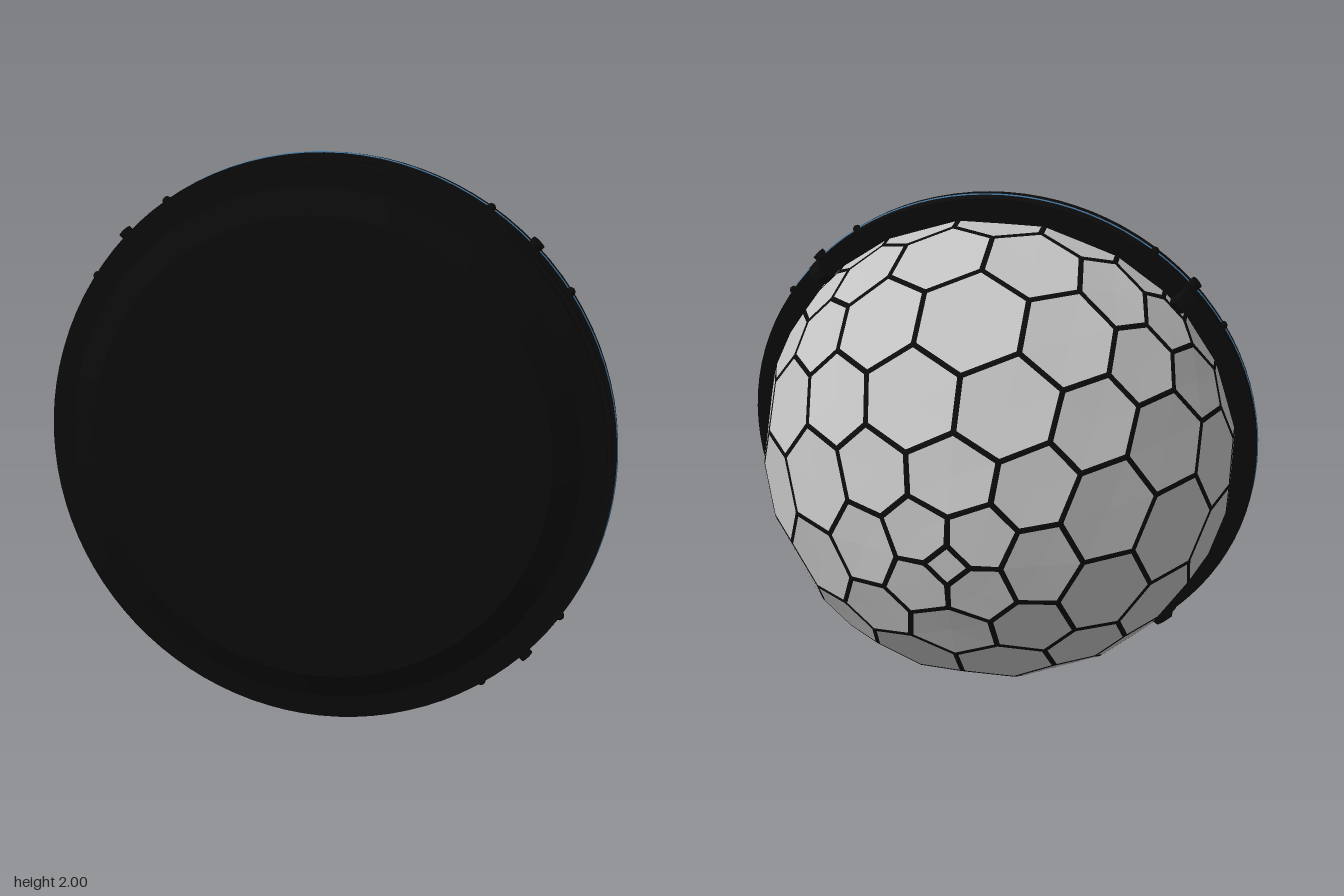
import * as THREE from 'three';
import { mergeGeometries, toCreasedNormals } from 'three/addons/utils/BufferGeometryUtils.js';

const R = 0.92, DOME_Z = 0.36, FREQ = 6, SEAM = 0.01;

const black = new THREE.MeshStandardMaterial({ color: 0x0b0b0b });
black.name = 'black';
const grey = new THREE.MeshStandardMaterial({ color: 0xc2c2c2 });
grey.name = 'panel grey';
const blue = new THREE.MeshStandardMaterial({ color: 0x44749c });
blue.name = 'blue';

function add(parent, name, geometry, material) {
  const mesh = new THREE.Mesh(geometry, material);
  mesh.name = name;
  parent.add(mesh);
  return mesh;
}

// Cells of an octahedral honeycomb sphere: a lattice point and its ring of corners
function honeycombCells() {
  const h = Math.SQRT1_2;
  const toSphere = (u, v, w) =>
    new THREE.Vector3((u - v) * h, (u + v) * h, -w).normalize().multiplyScalar(R);
  const cells = new Map();
  const addTriangle = (pts) => {
    const mid = [0, 1, 2].map((k) => (pts[0][k] + pts[1][k] + pts[2][k]) / 3);
    const corner = toSphere(...mid);
    for (const p of pts) {
      const key = p.map((n) => n + 0).join();
      if (!cells.has(key)) cells.set(key, { w: p[2], normal: toSphere(...p).normalize(), corners: [] });
      cells.get(key).corners.push(corner);
    }
  };
  for (const su of [1, -1]) for (const sv of [1, -1]) for (const sw of [1, -1]) {
    const P = (i, j) => [su * i, sv * j, sw * (FREQ - i - j)];
    for (let i = 0; i < FREQ; i++) for (let j = 0; i + j < FREQ; j++) {
      addTriangle([P(i, j), P(i + 1, j), P(i, j + 1)]);
      if (i + j < FREQ - 1) addTriangle([P(i + 1, j), P(i + 1, j + 1), P(i, j + 1)]);
    }
  }
  // Keep the rear half, plus the row on the equator
  return [...cells.values()].filter((c) => c.w >= 0);
}

function geometryFrom(points) {
  const g = new THREE.BufferGeometry().setFromPoints(points);
  g.computeVertexNormals();
  return g;
}

function buildDome() {
  const dome = new THREE.Group();
  dome.name = 'honeycombDome';
  dome.position.z = DOME_Z;
  const panels = [], seams = [];
  for (const { normal, corners } of honeycombCells()) {
    const n = corners.length;
    const centre = corners.reduce((s, c) => s.add(c), new THREE.Vector3()).divideScalar(n);
    const e1 = corners[0].clone().sub(centre).projectOnPlane(normal).normalize();
    const e2 = normal.clone().cross(e1);
    const angle = (c) => {
      const d = c.clone().sub(centre);
      return Math.atan2(d.dot(e2), d.dot(e1));
    };
    const ring = [...corners].sort((a, b) => angle(a) - angle(b));
    const inner = ring.map((c) => {
      const d = centre.clone().sub(c);
      return c.clone().addScaledVector(d.normalize(), SEAM / Math.cos(Math.PI / n));
    });
    for (let k = 0; k < n; k++) {
      const m = (k + 1) % n;
      panels.push(centre, inner[k], inner[m]);
      seams.push(ring[k], ring[m], inner[m], ring[k], inner[m], inner[k]);
    }
  }
  add(dome, 'panels', geometryFrom(panels), grey);
  add(dome, 'seams', geometryFrom(seams), black);
  return dome;
}

// Stepped rim with a closed, bevelled front
function buildRim() {
  const profile = [
    [0.85, 0.35], [0.995, 0.35], [0.995, 0.43], [0.985, 0.43], [0.985, 0.465],
    [0.97, 0.465], [0.97, 0.505], [0.89, 0.51], [0.8, 0.55], [0, 0.55],
  ].map(([r, z]) => new THREE.Vector2(r, z));
  const g = new THREE.LatheGeometry(profile, 96).rotateX(Math.PI / 2);
  return toCreasedNormals(g, 0.3);
}

// Hooked clip with a screw head, built on the +x side of the rim
function clipGeometry() {
  const shape = new THREE.Shape([
    [0.89, -0.36], [0.925, -0.29], [0.945, -0.26], [0.975, -0.265], [1.0, -0.31], [1.0, -0.37],
  ].map(([r, z]) => new THREE.Vector2(r, z)));
  const hook = new THREE.ExtrudeGeometry(shape, { depth: 0.05, bevelEnabled: false })
    .translate(0, 0, -0.025).rotateX(-Math.PI / 2);
  const head = new THREE.CylinderGeometry(0.024, 0.024, 0.04, 12)
    .rotateZ(Math.PI / 2).translate(0.995, 0, 0.4);
  return mergeGeometries([hook.toNonIndexed ? (hook.index ? hook.toNonIndexed() : hook) : hook, head.toNonIndexed()]);
}

export function createModel() {
  const model = new THREE.Group();
  model.name = 'domedLens';
  const body = new THREE.Group();
  body.name = 'body';
  body.position.y = 1;
  model.add(body);

  body.add(buildDome());
  add(body, 'rim', buildRim(), black);
  add(body, 'blueBand', new THREE.TorusGeometry(0.9935, 0.005, 8, 120).translate(0, 0, 0.4), blue);

  // A clip flanked by two studs on each diagonal
  const clip = clipGeometry();
  const stud = new THREE.SphereGeometry(0.016, 12, 8).translate(0.995, 0, 0.4);
  for (let q = 0; q < 4; q++) {
    const a = Math.PI / 4 + (q * Math.PI) / 2;
    add(body, 'clip', clip, black).rotation.z = a;
    for (const s of [-1, 1]) add(body, 'stud', stud, black).rotation.z = a + s * 0.19;
  }
  return model;
}
